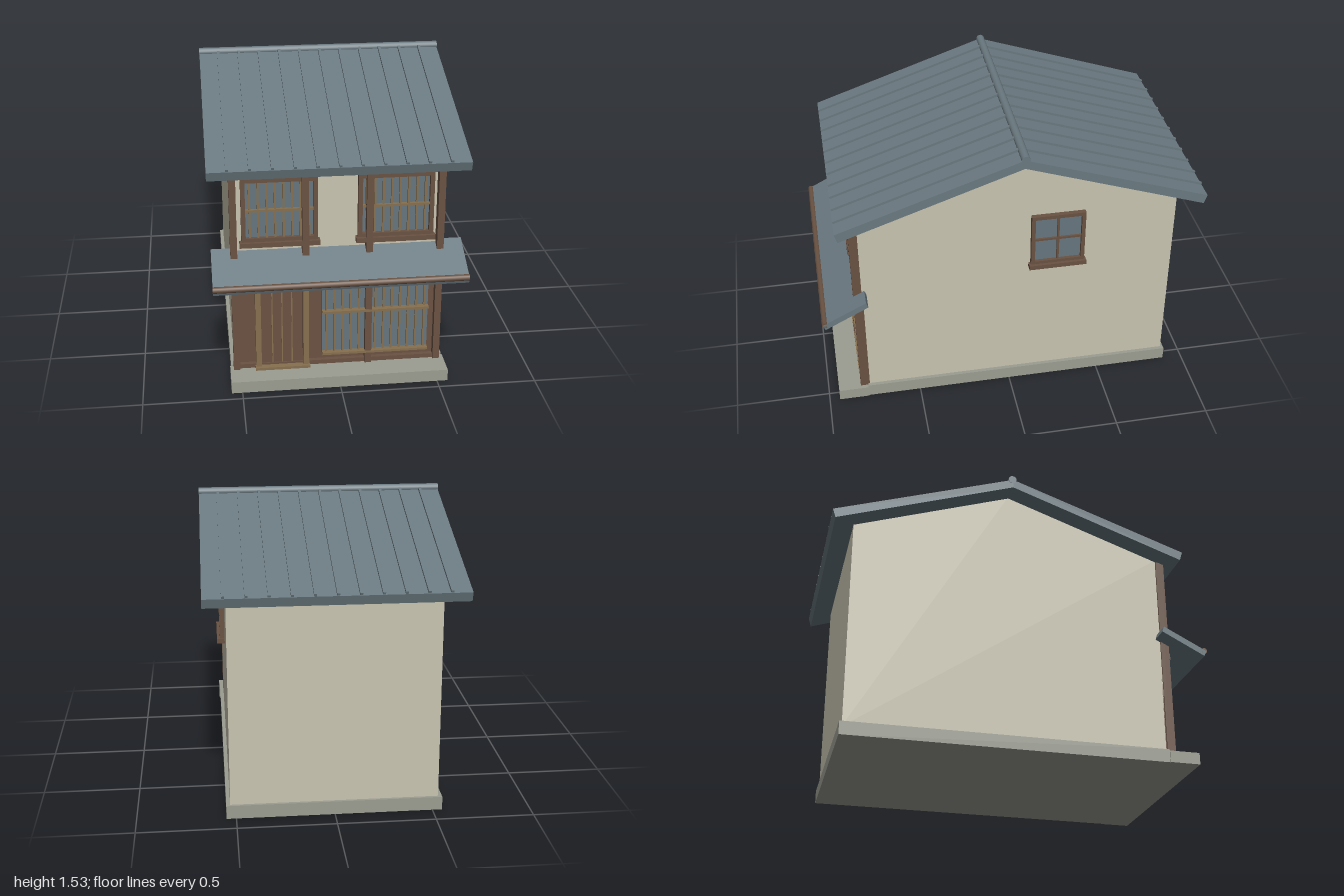
import * as THREE from 'three';

const mat = (name, color, side = THREE.FrontSide) => {
  const m = new THREE.MeshStandardMaterial({ color, side });
  m.name = name;
  return m;
};

export function createModel() {
  const plaster = mat('plaster', 0xc9c4b1);
  const wood = mat('dark wood', 0x6a5242);
  const tan = mat('light wood', 0x87704f);
  const slate = mat('slate metal', 0x6a7980);
  const glass = mat('window glass', 0x66757e);
  const stone = mat('stone', 0x9b9d91);

  const house = new THREE.Group();
  house.name = 'townhouse';

  const add = (name, geometry, material, parent = house) => {
    const mesh = new THREE.Mesh(geometry, material);
    mesh.name = name;
    parent.add(mesh);
    return mesh;
  };
  // Box given by its limits on each axis
  const box = (name, material, x0, x1, y0, y1, z0, z1, parent) => {
    const mesh = add(name, new THREE.BoxGeometry(x1 - x0, y1 - y0, z1 - z0), material, parent);
    mesh.position.set((x0 + x1) / 2, (y0 + y1) / 2, (z0 + z1) / 2);
    return mesh;
  };
  // Profile of [z, y] points extruded across x from -half to +half
  const acrossX = (name, material, points, half) => {
    const shape = new THREE.Shape(points.map(([z, y]) => new THREE.Vector2(-z, y)));
    const geometry = new THREE.ExtrudeGeometry(shape, { depth: half * 2, bevelEnabled: false });
    geometry.translate(0, 0, -half).rotateY(Math.PI / 2);
    return add(name, geometry, material);
  };
  const rod = (name, material, radius, half, y, z) => {
    const mesh = add(name, new THREE.CylinderGeometry(radius, radius, half * 2, 16).rotateZ(Math.PI / 2), material);
    mesh.position.set(0, y, z);
  };

  // Base
  box('foundation', stone, -0.55, 0.55, 0, 0.07, -0.895, 0.785);
  box('frontStep', stone, -0.555, 0.555, 0, 0.062, 0.785, 0.945);

  // Walls with gables
  acrossX('walls', plaster, [[0.78, 0.05], [0.78, 1.18], [-0.05, 1.465], [-0.88, 1.18], [-0.88, 0.05]], 0.53);

  // Main roof, ridge and standing seams
  acrossX('mainRoof', slate, [
    [0.895, 1.183], [-0.05, 1.505], [-1, 1.183], [-0.985, 1.135], [-0.05, 1.457], [0.88, 1.135],
  ], 0.643);
  rod('ridge', slate, 0.022, 0.645, 1.505, -0.053);
  for (const [endZ, side] of [[0.893, 'front'], [-0.998, 'back']]) {
    const dz = endZ + 0.05, dy = -0.322;
    for (let i = -5; i <= 5; i++) {
      const seam = add(side + 'RoofSeam', new THREE.BoxGeometry(0.014, 0.016, Math.hypot(dz, dy)), slate);
      seam.position.set(i * 0.1087, 1.505 + dy / 2 + 0.005, -0.05 + dz / 2);
      seam.rotation.x = Math.atan2(-dy, dz > 0 ? dz : -dz) * Math.sign(dz);
    }
  }

  // Lean-to canopy with its gutter and beam
  acrossX('canopy', slate, [[0.765, 0.725], [0.995, 0.608], [0.982, 0.578], [0.755, 0.695]], 0.632);
  rod('gutter', wood, 0.016, 0.632, 0.608, 0.983);
  box('canopyBeam', wood, -0.53, 0.53, 0.585, 0.62, 0.78, 0.832);

  // Timber facade of the ground floor
  box('facadePanel', wood, -0.53, 0.53, 0.062, 0.68, 0.775, 0.79);
  box('facadeSill', wood, -0.505, 0.505, 0.062, 0.085, 0.785, 0.812);
  for (const x of [-0.52, -0.163, 0.157, 0.515]) {
    box('post', wood, x - 0.017, x + 0.017, 0.062, 1.165, 0.78, 0.825);
  }

  // Sliding door
  const door = new THREE.Group();
  door.name = 'door';
  house.add(door);
  box('doorLeaf', wood, -0.4, -0.16, 0.07, 0.6, 0.785, 0.805, door);
  for (const x of [-0.407, -0.163]) {
    box('doorJamb', tan, x - 0.014, x + 0.014, 0.062, 0.6, 0.785, 0.829, door);
  }
  for (const x of [-0.335, -0.285, -0.235]) {
    box('doorBatten', tan, x - 0.003, x + 0.003, 0.085, 0.6, 0.8, 0.809, door);
  }
  box('doorTrack', tan, -0.425, -0.145, 0.062, 0.076, 0.785, 0.845, door);

  // Lattice of upright slats with cross rails, over a pane
  const lattice = (name, x0, x1, y0, y1, count, rails, z) => {
    const g = new THREE.Group();
    g.name = name;
    house.add(g);
    box('pane', glass, x0, x1, y0, y1, z - 0.008, z, g);
    for (let i = 0; i < count; i++) {
      const x = x0 + (x1 - x0) * (i + 0.5) / count;
      box('slat', tan, x - 0.005, x + 0.005, y0, y1, z, z + 0.012, g);
    }
    return [g, ...rails.map((y) => box('rail', tan, x0, x1, y - 0.006, y + 0.006, z, z + 0.016, g))][0];
  };
  lattice('shopLattice', -0.08, 0.468, 0.12, 0.62, 13, [0.126, 0.365], 0.797);
  for (const y of [0.126, 0.365]) {
    box('shopRail', tan, -0.08, 0.468, y - 0.006, y + 0.006, 0.8, 0.827);
  }

  // Rectangular frame around a window, facing +z
  const frame = (x0, x1, y0, y1, z0, z1, t, parent) => {
    box('frameLeft', wood, x0, x0 + t, y0, y1, z0, z1, parent);
    box('frameRight', wood, x1 - t, x1, y0, y1, z0, z1, parent);
    box('frameTop', wood, x0 + t, x1 - t, y1 - t, y1, z0, z1, parent);
    box('frameBottom', wood, x0 + t, x1 - t, y0, y0 + t, z0, z1, parent);
    box('sill', wood, x0 - 0.01, x1 + 0.01, y0 - 0.022, y0 + 0.003, z0, z1 + 0.015, parent);
  };

  // Upper windows
  for (const x of [-0.29, 0.29]) {
    const g = lattice('upperWindow', x - 0.168, x + 0.168, 0.79, 1.085, 8, [0.935], 0.784);
    frame(x - 0.19, x + 0.19, 0.768, 1.107, 0.775, 0.805, 0.022, g);
  }

  // Side window, built facing +z and turned to face +x
  const side = new THREE.Group();
  side.name = 'sideWindow';
  side.position.set(0.53, 0, -0.252);
  side.rotation.y = Math.PI / 2;
  house.add(side);
  box('pane', glass, -0.13, 0.13, 0.8, 1.08, 0, 0.008, side);
  frame(-0.142, 0.142, 0.788, 1.092, -0.005, 0.025, 0.02, side);
  box('mullion', wood, -0.006, 0.006, 0.8, 1.08, 0, 0.018, side);
  box('crossbar', wood, -0.13, 0.13, 0.934, 0.946, 0, 0.018, side);

  return house;
}
